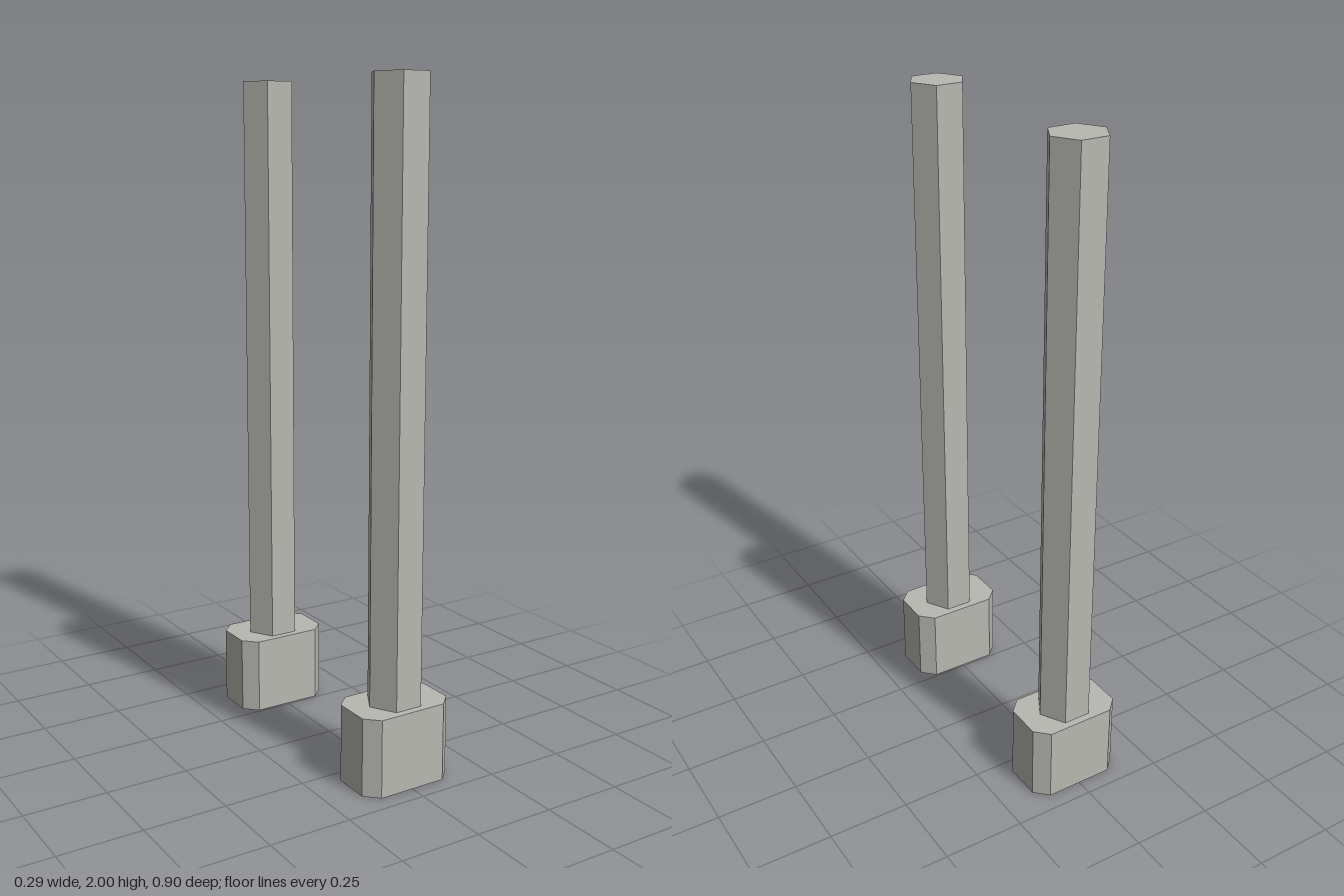
import * as THREE from 'three';

const HEIGHT = 2;
const FOOT_HEIGHT = 0.236;
const SHAFT_RADIUS = 0.085;
const SPACING = 0.352; // distance of each post from the centre along z

// Rectangle with cut corners, extruded upwards from y = 0
function chamferedBlock(halfWidth, halfDepth, cut, height) {
  const w = halfWidth, d = halfDepth;
  const outline = [
    [w - cut, -d], [w, cut - d], [w, d - cut], [w - cut, d],
    [cut - w, d], [-w, d - cut], [-w, cut - d], [cut - w, -d],
  ].map(([x, y]) => new THREE.Vector2(x, y));
  return new THREE.ExtrudeGeometry(new THREE.Shape(outline), { depth: height, bevelEnabled: false })
    .rotateX(-Math.PI / 2);
}

export function createModel() {
  const model = new THREE.Group();
  model.name = 'postPair';

  const grey = new THREE.MeshStandardMaterial({ color: 0xb8b8b2, flatShading: true });
  grey.name = 'stoneGrey';

  const footGeometry = chamferedBlock(0.147, 0.096, 0.04, FOOT_HEIGHT);

  // Hexagonal shaft with flat sides facing front and back
  const shaftHeight = HEIGHT - FOOT_HEIGHT;
  const shaftGeometry = new THREE.CylinderGeometry(SHAFT_RADIUS, SHAFT_RADIUS, shaftHeight, 6)
    .rotateY(Math.PI / 6)
    .translate(0, FOOT_HEIGHT + shaftHeight / 2, 0);

  for (const [name, side] of [['frontPost', 1], ['backPost', -1]]) {
    const post = new THREE.Group();
    post.name = name;
    post.position.z = side * SPACING;

    const foot = new THREE.Mesh(footGeometry, grey);
    foot.name = 'foot';
    const shaft = new THREE.Mesh(shaftGeometry, grey);
    shaft.name = 'shaft';

    post.add(foot, shaft);
    model.add(post);
  }
  return model;
}
